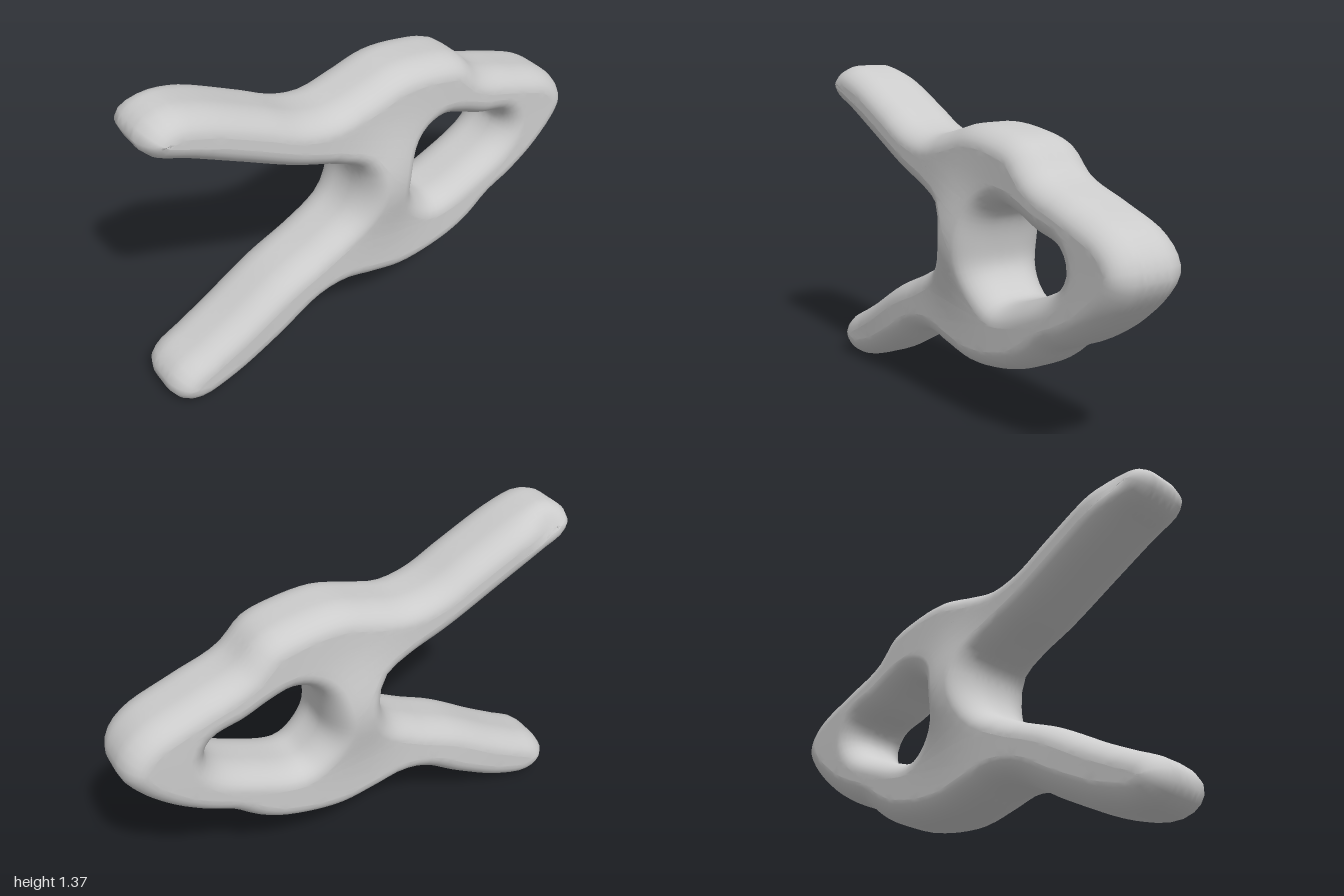
import * as THREE from 'three';
import { mergeVertices } from 'three/addons/utils/BufferGeometryUtils.js';

// outer silhouette, clockwise: upper arm, pointed loop, lower arm, crotch
const OUTLINE = [
  [-1, 1.29], [-0.965, 1.345], [-0.88, 1.375], [-0.75, 1.345], [-0.5, 1.23], [-0.35, 1.155], [-0.22, 1.13],
  [-0.08, 1.16], [0.08, 1.2], [0.25, 1.19], [0.4, 1.15], [0.51, 1.05], [0.7, 0.98], [0.9, 0.9], [0.98, 0.82],
  [1, 0.74], [0.96, 0.66], [0.84, 0.54], [0.7, 0.45], [0.58, 0.395], [0.48, 0.32], [0.35, 0.26], [0.1, 0.22],
  [-0.08, 0.25], [-0.2, 0.275], [-0.32, 0.255], [-0.5, 0.15], [-0.72, 0.04], [-0.88, 0], [-0.965, 0.03],
  [-1, 0.1], [-0.96, 0.17], [-0.85, 0.23], [-0.72, 0.3], [-0.5, 0.43], [-0.3, 0.52], [-0.15, 0.61],
  [-0.1, 0.72], [-0.12, 0.82], [-0.22, 0.875], [-0.4, 0.945], [-0.65, 1.07], [-0.84, 1.165], [-0.96, 1.22],
];
// window in the loop, counter-clockwise
const HOLE = [
  [0.23, 0.88], [0.18, 0.83], [0.15, 0.72], [0.15, 0.63], [0.2, 0.56], [0.27, 0.52], [0.46, 0.575],
  [0.62, 0.66], [0.66, 0.73], [0.63, 0.79], [0.5, 0.83], [0.38, 0.88], [0.3, 0.9],
];

function smoothLoop(points, count) {
  const curve = new THREE.CatmullRomCurve3(points.map(([x, y]) => new THREE.Vector3(x, y, 0)), true);
  return curve.getSpacedPoints(count).slice(0, -1).map(p => new THREE.Vector2(p.x, p.y));
}

// halve the longest edge of every triangle until all edges are short
function tessellate(geometry, limit) {
  const pos = geometry.attributes.position;
  const stack = [];
  for (let i = 0; i < pos.count; i += 3) {
    stack.push([0, 1, 2].map(k => new THREE.Vector3().fromBufferAttribute(pos, i + k)));
  }
  const out = [];
  while (stack.length) {
    const t = stack.pop();
    const lengths = [0, 1, 2].map(k => t[k].distanceTo(t[(k + 1) % 3]));
    const longest = Math.max(...lengths);
    if (longest <= limit) {
      t.forEach(p => out.push(p.x, p.y, p.z));
      continue;
    }
    const k = lengths.indexOf(longest);
    const a = t[k], b = t[(k + 1) % 3], c = t[(k + 2) % 3];
    const m = a.clone().add(b).multiplyScalar(0.5);
    stack.push([a, m, c], [m, b, c]);
  }
  const result = new THREE.BufferGeometry();
  result.setAttribute('position', new THREE.Float32BufferAttribute(out, 3));
  return result;
}

function bump(dx, dy, rx, ry) {
  return Math.exp(-((dx / rx) ** 2) - (dy / ry) ** 2);
}

export function createModel() {
  const group = new THREE.Group();
  group.name = 'forkedLoop';

  const shape = new THREE.Shape(smoothLoop(OUTLINE, 150));
  shape.holes.push(new THREE.Path(smoothLoop(HOLE, 56)));
  const extruded = new THREE.ExtrudeGeometry(shape, {
    depth: 0.09, steps: 2, curveSegments: 1,
    bevelEnabled: true, bevelThickness: 0.122, bevelSize: 0.085, bevelOffset: -0.085, bevelSegments: 8,
  });
  extruded.translate(0, 0, -0.045);
  const geometry = mergeVertices(tessellate(extruded, 0.05), 1e-4);

  const pos = geometry.attributes.position;
  for (let i = 0; i < pos.count; i++) {
    const x = pos.getX(i), y = pos.getY(i);
    let z = pos.getZ(i);
    // swelling of the central post on both faces
    z *= 1 + 0.28 * bump(x - 0.02, y - 0.73, 0.18, 0.2);
    // thinner tip of the lower arm
    z *= 1 - 0.06 * bump(x + 0.9, y - 0.08, 0.3, 0.2);
    // chipped dent at the back of the upper arm tip
    if (z < 0) z += 0.04 * bump(x + 0.88, y - 1.33, 0.09, 0.08) * (-z / 0.165);
    // slight twist of the upper part
    z -= 0.018 * x * THREE.MathUtils.smoothstep(y, 0.1, 0.8);
    pos.setZ(i, z);
  }
  geometry.computeVertexNormals();

  const body = new THREE.Mesh(geometry, new THREE.MeshStandardMaterial({ color: 0xcccccc }));
  body.name = 'body';
  group.add(body);
  return group;
}
